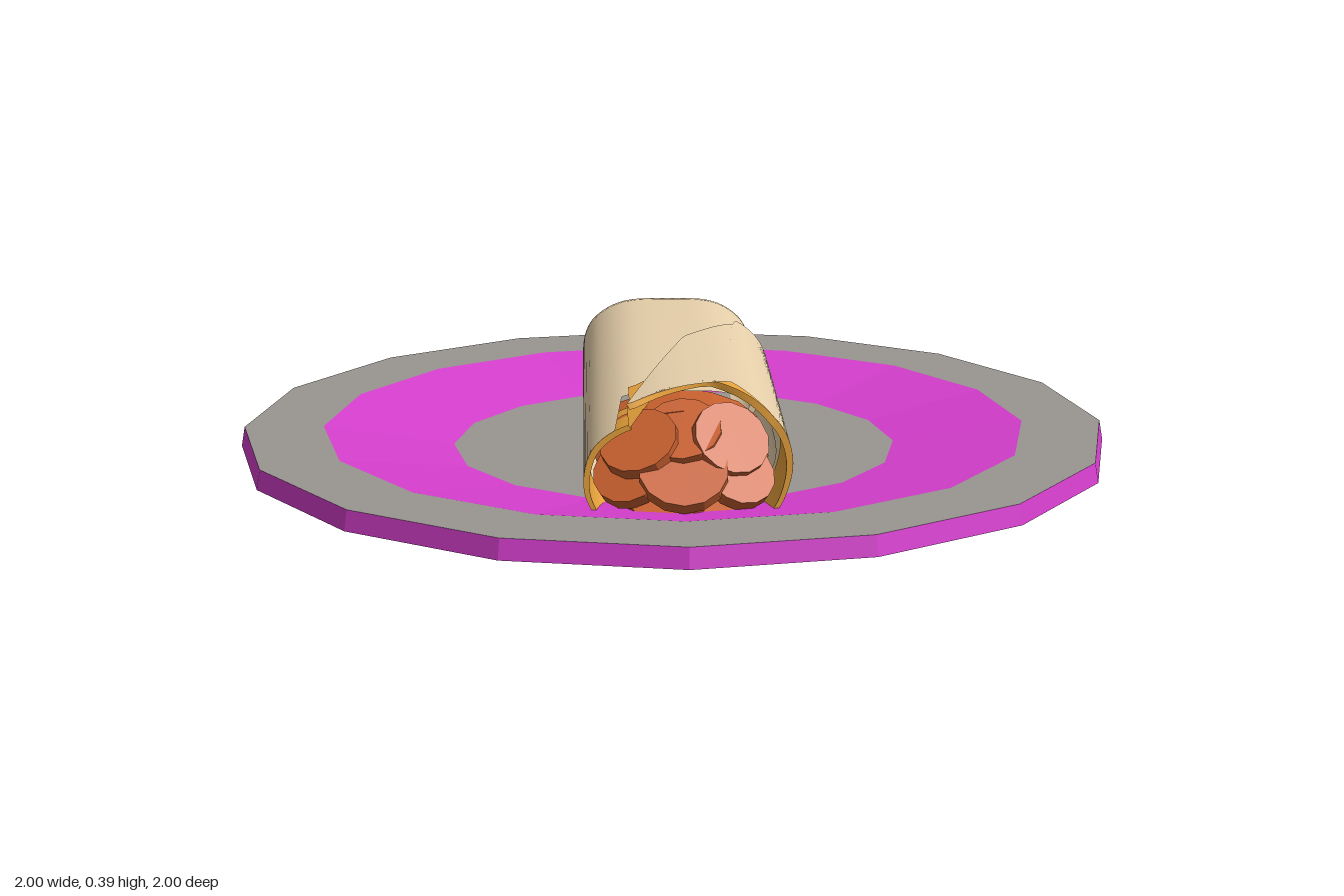
import * as THREE from 'three';

const GREY = 0x9a9692, MAGENTA = 0xd63fce, DOUGH = 0xe6cfaa, INSIDE = 0xe8a23c, MEAT = 0xc9602f;
const V = (x, y) => new THREE.Vector3(x, y, 0);
const lerp = THREE.MathUtils.lerp;

// piecewise linear lookup in a list of [key, value], keys ascending
function lookup(table, k) {
  if (k <= table[0][0]) return table[0][1];
  for (let i = 1; i < table.length; i++) {
    const [a, b] = [table[i - 1], table[i]];
    if (k <= b[0]) return lerp(a[1], b[1], (k - a[0]) / (b[0] - a[0]));
  }
  return table[table.length - 1][1];
}

function mesh(name, geometry, color, flatShading = false) {
  const m = new THREE.Mesh(geometry, new THREE.MeshStandardMaterial({ color, flatShading, side: THREE.DoubleSide }));
  m.name = name;
  return m;
}

// smooth surface through a grid of points given by fn(u, v)
function grid(name, nu, nv, fn, color) {
  const pos = [], idx = [];
  for (let j = 0; j <= nv; j++)
    for (let i = 0; i <= nu; i++) {
      pos.push(...fn(i / nu, j / nv));
      if (i < nu && j < nv) {
        const a = j * (nu + 1) + i, b = a + nu + 1;
        idx.push(a, a + 1, b, b, a + 1, b + 1);
      }
    }
  const g = new THREE.BufferGeometry();
  g.setAttribute('position', new THREE.Float32BufferAttribute(pos, 3));
  g.setIndex(idx);
  g.computeVertexNormals();
  return mesh(name, g, color);
}

function makePlate() {
  const plate = new THREE.Group();
  plate.name = 'plate';
  // each band is a 16-sided ring: name, r0, y0, r1, y1, color
  const bands = [
    ['footBase', 0, 0, 0.365, 0, GREY],
    ['footSide', 0.365, 0, 0.365, 0.04, GREY],
    ['plateBottom', 0.365, 0.04, 0.74, 0.04, MAGENTA],
    ['plateUnderside', 0.74, 0.04, 1, 0.12, GREY],
    ['rimEdge', 1, 0.12, 0.992, 0.165, MAGENTA],
    ['rimTop', 0.992, 0.165, 0.81, 0.165, GREY],
    ['plateSlope', 0.81, 0.165, 0.51, 0.12, MAGENTA],
    ['plateFloor', 0.51, 0.12, 0, 0.12, GREY],
  ];
  for (const [name, r0, y0, r1, y1, color] of bands) {
    const g = new THREE.LatheGeometry([new THREE.Vector2(r0, y0), new THREE.Vector2(r1, y1)], 16);
    plate.add(mesh(name, g, color, true));
  }
  return plate;
}

function makeWrap() {
  const wrap = new THREE.Group();
  wrap.name = 'wrap';

  // cross-section of the rolled body, counter-clockwise from the bottom
  const body = new THREE.CatmullRomCurve3([
    V(0, 0.122), V(0.17, 0.125), V(0.205, 0.17), V(0.21, 0.22), V(0.185, 0.285), V(0.12, 0.33), V(0, 0.34),
    V(-0.12, 0.33), V(-0.19, 0.28), V(-0.21, 0.21), V(-0.2, 0.16), V(-0.17, 0.125)], true);

  // body sections towards the folded back: z, width scale, height scale
  const back = [[-0.1, 1, 1], [-0.57, 1, 1], [-0.605, 1, 0.98], [-0.645, 1, 0.86], [-0.668, 0.8, 0.74],
    [-0.69, 0.55, 0.6], [-0.708, 0.25, 0.32], [-0.712, 0, 0]];
  wrap.add(grid('rolledBody', 56, back.length, (u, v) => {
    const p = body.getPoint(u), k = Math.round(v * back.length);
    // the part hidden beneath the flap starts further in
    if (k === 0) return [p.x, p.y, p.x > -0.13 && p.y > 0.14 ? 0.4 : 0.66];
    const [z, sx, sy] = back[k - 1];
    return [p.x * sx, 0.12 + (p.y - 0.12) * sy, z];
  }, DOUGH));

  // overlapping flap, from the plate on the left side up and over the top
  const flap = new THREE.CatmullRomCurve3([
    V(0.18, 0.12), V(0.212, 0.17), V(0.229, 0.25), V(0.205, 0.325), V(0.14, 0.378), V(0.03, 0.393),
    V(-0.05, 0.39), V(-0.12, 0.375)]);
  const edgeX = [[-0.16, 0.15], [-0.1, 0.14], [0.09, 0.02], [0.66, -0.12]];
  // parameter at which the flap curve reaches the diagonal free edge
  const endAt = z => {
    const x = lookup(edgeX, z);
    let lo = 0.4, hi = 1;
    for (let i = 0; i < 20; i++) {
      const mid = (lo + hi) / 2;
      if (flap.getPoint(mid).x > x) lo = mid; else hi = mid;
    }
    return lo;
  };
  // torn notch in the front of the flap
  const notch = [[-0.11, 0.655], [0.06, 0.51], [0.19, 0.66]];
  const frontZ = p => (p.y > 0.3 ? lookup(notch, p.x) : 0.66);
  const flapPoint = (u, v) => {
    const z = lerp(frontZ(flap.getPoint(u)), -0.16, v);
    const p = flap.getPoint(u * endAt(z));
    return [p.x, p.y, z];
  };
  wrap.add(grid('flap', 36, 30, flapPoint, DOUGH));

  // cut edges of the flap, dropping to the body
  wrap.add(grid('flapEdge', 1, 30, (u, v) => {
    const [x, y, z] = flapPoint(1, v);
    return [x + 0.004 * u, y - 0.055 * u, z];
  }, INSIDE));
  wrap.add(grid('flapBackEdge', 24, 1, (u, v) => {
    const [x, y, z] = flapPoint(u, 1);
    return [x * (1 - 0.14 * v), lerp(y, 0.12 + (y - 0.12) * 0.8, v), z];
  }, DOUGH));

  // lining of the open end: flap side and body side
  const lining = (name, point, front) => {
    const inner = (u, d) => {
      const p = point(u);
      return [p.x * 0.94, 0.12 + (p.y - 0.12) * 0.95, front(p) - d];
    };
    wrap.add(grid(name + 'Lining', 30, 4, (u, v) => inner(u, v * 0.2), INSIDE));
    wrap.add(grid(name + 'Lip', 30, 1, (u, v) => {
      const p = point(u);
      return v ? inner(u, 0) : [p.x, p.y, front(p)];
    }, INSIDE));
  };
  lining('flap', u => flap.getPoint(u), frontZ);
  lining('body', u => body.getPoint(lerp(0.58, 0.99, u)), () => 0.66);
  return wrap;
}

function makeFilling() {
  const filling = new THREE.Group();
  filling.name = 'filling';
  // slices: x, y, z, radius, tilt forward, lean sideways
  const slices = [
    [0, 0.222, 0.64, 0.095, 0.7, 0], [-0.11, 0.215, 0.61, 0.08, 0.75, 0.35], [0.115, 0.21, 0.61, 0.08, 0.75, -0.35],
    [-0.09, 0.27, 0.585, 0.085, 0.6, 0.3], [0.1, 0.275, 0.58, 0.085, 0.8, -0.35], [0, 0.29, 0.57, 0.085, 0.6, 0.1],
    [-0.03, 0.165, 0.62, 0.09, 0.5, 0.1], [0.06, 0.165, 0.6, 0.09, 0.5, -0.1],
  ];
  for (const [x, y, z, r, tilt, lean] of slices) {
    const s = mesh('fillingSlice', new THREE.CylinderGeometry(r, r, 0.03, 14), MEAT, true);
    s.position.set(x, y, z);
    s.rotation.set(tilt, 0, lean);
    filling.add(s);
  }
  // mass behind the slices
  const core = mesh('fillingCore', new THREE.CylinderGeometry(1, 1, 0.2, 16), MEAT, true);
  core.rotation.x = Math.PI / 2;
  core.scale.set(0.185, 1, 0.1);
  core.position.set(0, 0.23, 0.44);
  filling.add(core);
  return filling;
}

export function createModel() {
  const model = new THREE.Group();
  model.name = 'wrapOnPlate';
  model.add(makePlate(), makeWrap(), makeFilling());
  return model;
}
